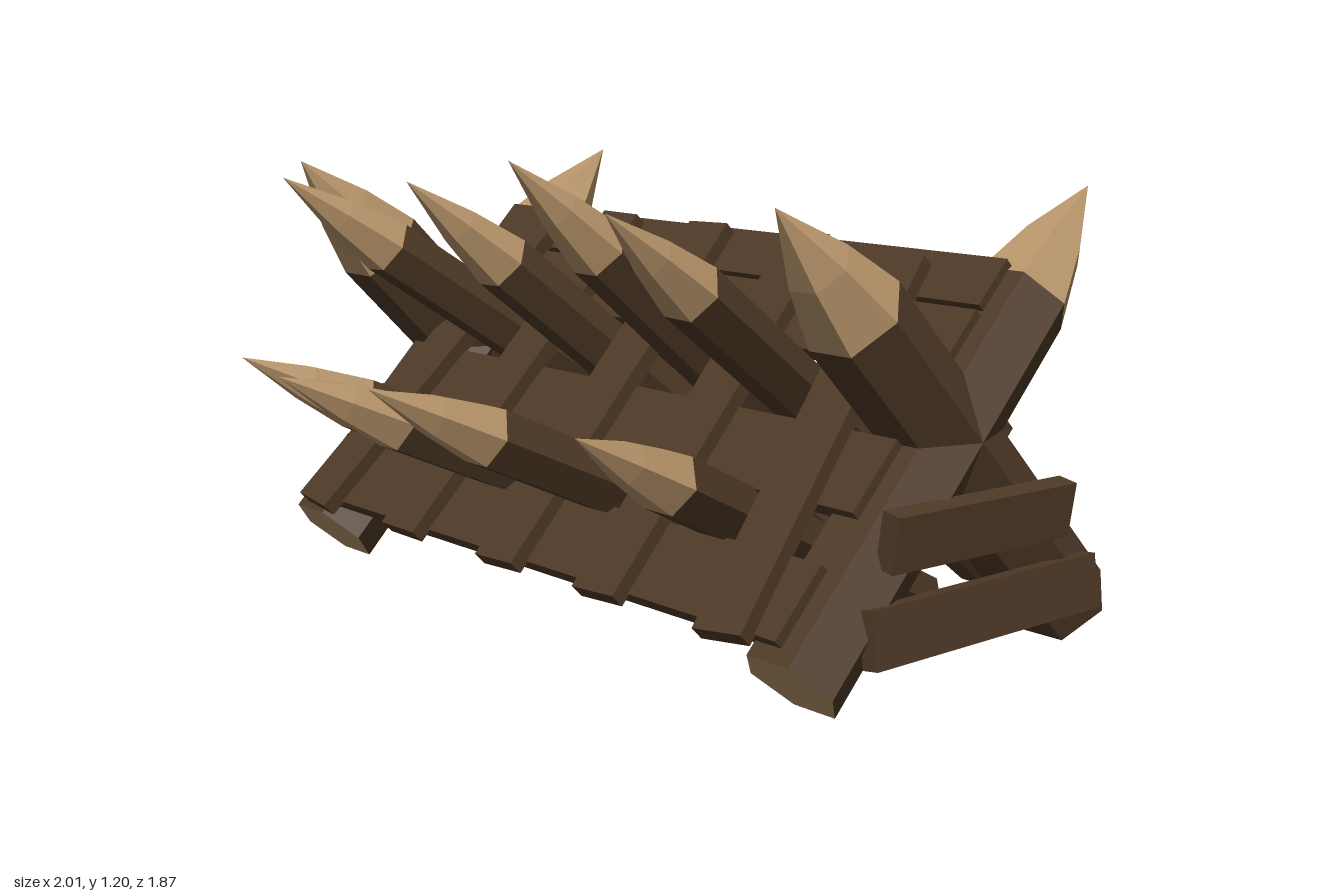
import * as THREE from 'three';

const V = (x, y, z) => new THREE.Vector3(x, y, z);

export function createModel() {
  const group = new THREE.Group();
  const bark = new THREE.MeshStandardMaterial({ color: 0x4e3926 });
  bark.name = 'dark wood';
  bark.flatShading = true;
  const cut = new THREE.MeshStandardMaterial({ color: 0xb7946a });
  cut.name = 'cut wood';
  cut.flatShading = true;

  // Orient an object: local y along dir, local x as close to side as possible
  function orient(obj, pos, dir, side) {
    const y = dir.clone().normalize();
    const x = side.clone().addScaledVector(y, -side.dot(y)).normalize();
    const z = x.clone().cross(y);
    obj.quaternion.setFromRotationMatrix(new THREE.Matrix4().makeBasis(x, y, z));
    obj.position.copy(pos);
    group.add(obj);
  }

  // Six-sided log with a carved point and a pale sawn end
  function stake(name, bottom, tip, r, point) {
    const dir = tip.clone().sub(bottom);
    const len = dir.length() - point;
    const log = new THREE.Group();
    log.name = name;
    const add = (part, geo, mat) => {
      const mesh = new THREE.Mesh(geo.rotateY(Math.PI / 6), mat);
      mesh.name = part;
      log.add(mesh);
    };
    add('shaft', new THREE.CylinderGeometry(r, r, len, 6, 1, true).translate(0, len / 2, 0), bark);
    add('carvedPoint', new THREE.LatheGeometry([
      new THREE.Vector2(r, len),
      new THREE.Vector2(r * 0.64, len + point * 0.46),
      new THREE.Vector2(0, len + point),
    ], 6).toNonIndexed(), cut);
    add('sawnEnd', new THREE.CircleGeometry(r, 6).rotateX(Math.PI / 2).rotateY(Math.PI / 6), cut);
    orient(log, bottom, dir, V(1, 0, 0));
  }

  // Board from a to b; side is the direction of its width
  function plank(name, a, b, width, thick, side) {
    const dir = b.clone().sub(a);
    const mesh = new THREE.Mesh(new THREE.BoxGeometry(width, dir.length(), thick), bark);
    mesh.name = name;
    orient(mesh, a.clone().add(b).multiplyScalar(0.5), dir, side);
  }

  // Crossed end posts
  for (const x of [-0.855, 0.82]) {
    stake('backLeaningPost', V(x, 0.163, 0.377), V(x, 1.125, -0.574), 0.115, 0.33);
    stake('frontLeaningPost', V(x, 0.16, -0.535), V(x, 1.14, 0.44), 0.115, 0.33);
  }

  // Upper row of stakes: bottom x, y, z then tip x, y, z
  for (const [a, b, c, d, e, f] of [
    [-0.42, 0.08, -0.895, -0.65, 1.12, 0.62],
    [-0.14, 0.1, -0.75, -0.26, 1.13, 0.535],
    [0.15, 0.1, -0.76, 0.15, 1.2, 0.56],
    [0.31, 0.08, -0.895, 0.53, 1.12, 0.62],
  ]) stake('upperStake', V(a, b, c), V(d, e, f), 0.075, 0.33);

  // Lower row of stakes
  for (const [a, b, c, d, e, f] of [
    [-0.42, 0.06, -0.54, -0.635, 0.7, 0.76],
    [-0.145, 0.065, -0.52, -0.26, 0.72, 0.89],
    [0.15, 0.075, -0.52, 0.15, 0.755, 0.93],
    [0.38, 0.06, -0.54, 0.6, 0.7, 0.76],
  ]) stake('lowerStake', V(a, b, c), V(d, e, f), 0.075, 0.33);

  // Horizontal rails on the sloping front: centre height, width
  const slope = V(0, 1, -1).normalize();
  for (const [y, w] of [[0.33, 0.19], [0.555, 0.19], [0.81, 0.17], [0.925, 0.13]])
    plank('frontRail', V(-0.88, y, 0.69 - y), V(0.835, y, 0.69 - y), w, 0.04, slope);

  // Rail over the stakes at the back
  plank('backRail', V(-0.88, 0.645, -0.215), V(0.86, 0.645, -0.215), 0.13, 0.04, V(0, 1, 1));

  // Upright slats: bottom x, top x, top height
  for (const [x0, x1, top] of [
    [-0.78, -0.67, 0.96], [-0.4, -0.39, 0.985], [-0.02, -0.06, 0.985],
    [0.33, 0.28, 0.985], [0.715, 0.585, 0.96],
  ]) plank('slat', V(x0, 0.265, 0.475), V(x1, top, 0.74 - top), 0.13, 0.04, V(1, 0, 0));

  // Braces nailed across the outside of the crossed posts
  for (const s of [-1, 1]) {
    plank('upperBrace', V(s * 0.925, 0.455, 0.21), V(s * 0.97, 0.45, -0.32), 0.125, 0.05, V(s * 0.15, 1, 0));
    plank('lowerBrace', V(s * 0.935, 0.265, 0.275), V(s * 0.945, 0.25, -0.465), 0.125, 0.04, V(-s * 0.15, 1, 0));
  }
  return group;
}
